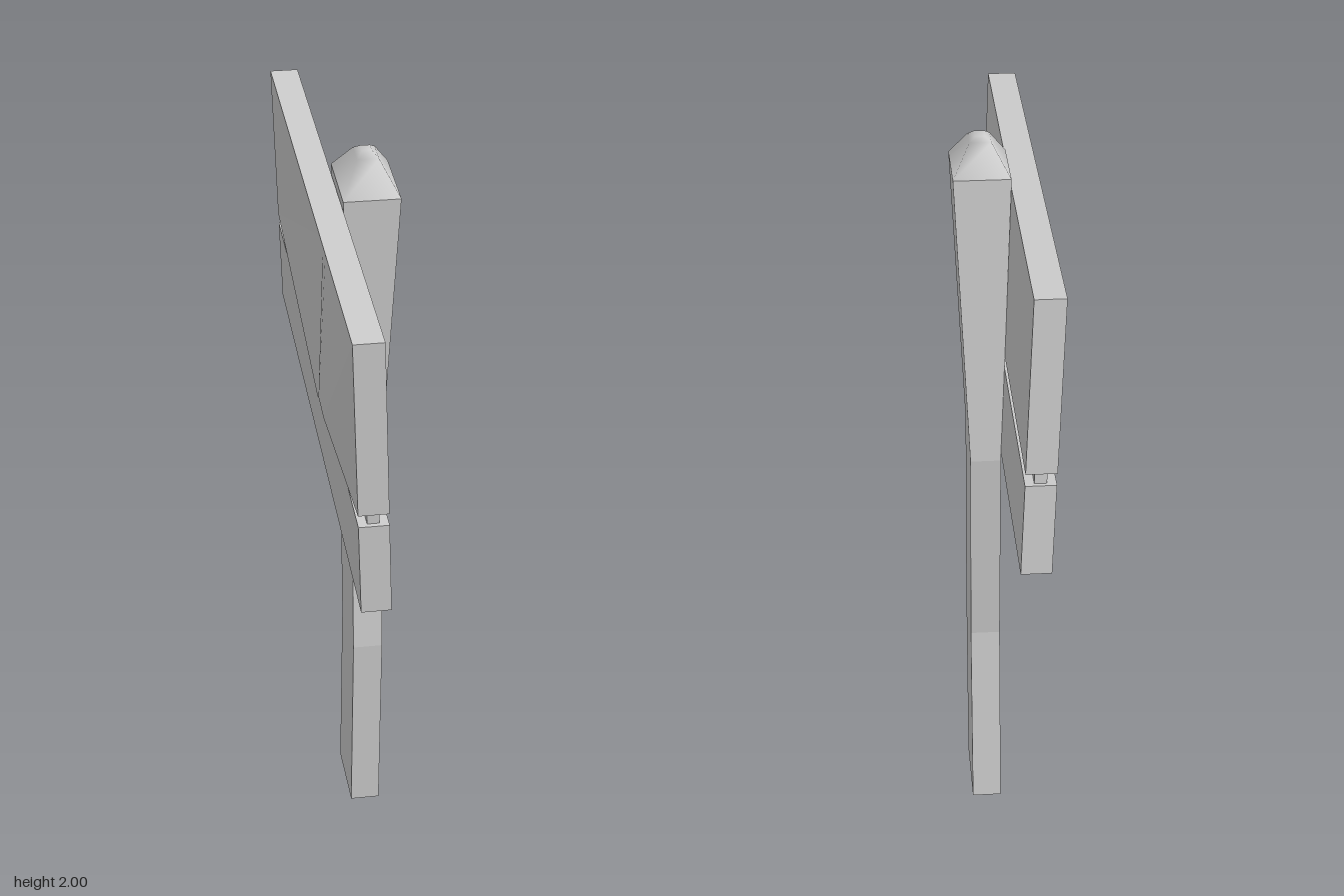
import * as THREE from 'three';
import { mergeVertices } from 'three/addons/utils/BufferGeometryUtils.js';

const lerp = THREE.MathUtils.lerp;
const flat = new THREE.MeshStandardMaterial({ color: 0xcccccc, flatShading: true });
const smooth = new THREE.MeshStandardMaterial({ color: 0xcccccc });

// Moves every vertex of a unit box (coordinates 0..1) by a rule.
function mapBox(segments, rule) {
  const geo = new THREE.BoxGeometry(1, 1, 1, ...segments);
  const p = geo.attributes.position;
  for (let i = 0; i < p.count; i++) {
    p.setXYZ(i, ...rule(p.getX(i) + 0.5, p.getY(i) + 0.5, p.getZ(i) + 0.5));
  }
  geo.computeVertexNormals();
  return geo;
}

// Box stacked from rings: [y at back, y at front, x min, x max, z back, z front]
function ringBox(rings) {
  const n = rings.length - 1;
  return mapBox([1, n, 1], (x, y, z) => {
    const [yb, yf, x0, x1, zb, zf] = rings[Math.round(y * n)];
    return [lerp(x0, x1, x), lerp(yb, yf, z), lerp(zb, zf, z)];
  });
}

// Point on the skewed board: u from front to back end, v upward, t from inner to outer face
function boardPoint(u, v, t) {
  const z = lerp(lerp(0.72, 0.77, v), lerp(-0.765, -0.715, v), u);
  const y = lerp(lerp(1.09, 1.845, v), lerp(1.22, 1.93, v), u);
  return [-0.03 * v - 0.075 * t, y, z];
}

function addMesh(group, name, geometry, material) {
  const mesh = new THREE.Mesh(geometry, material);
  mesh.name = name;
  group.add(mesh);
}

export function createModel() {
  const model = new THREE.Group();
  model.name = 'signpost';

  // Crooked post, flaring toward its top
  const topRing = [1.92, 1.905, -0.03, 0.115, -0.073, 0.135];
  addMesh(model, 'post', ringBox([
    [0, 0, 0, 0.08, -0.135, 0.08],
    [0.55, 0.56, 0, 0.08, -0.09, 0.117],
    [1.14, 1.15, 0, 0.08, -0.132, 0.078],
    topRing,
  ]), flat);

  // Rounded pyramid cap, open below so its shading stays smooth
  let cap = ringBox([
    topRing,
    [1.99, 1.985, 0.015, 0.07, -0.005, 0.065],
    [2, 2, 0.03, 0.055, 0.01, 0.045],
  ]);
  const { start, count } = cap.groups[3];
  cap.setIndex(Array.from(cap.index.array).filter((_, i) => i < start || i >= start + count));
  cap.clearGroups();
  cap.deleteAttribute('normal');
  cap.deleteAttribute('uv');
  cap = mergeVertices(cap, 1e-4);
  cap.computeVertexNormals();
  addMesh(model, 'postCap', cap, smooth);

  // Lower plank
  addMesh(model, 'lowerPlank', mapBox([1, 1, 1], (x, y, z) =>
    boardPoint(1 - z, y * 0.335, 1 - x)), flat);

  // Upper plank, its outer lower edge bulging out around a small split
  const stations = [0, 0.285, 0.314, 0.35, 1];
  const bulge = [0, 0.021, 0.026, 0.022, 0];
  addMesh(model, 'upperPlank', mapBox([1, 1, 4], (x, y, z) => {
    const i = Math.round((1 - z) * 4);
    const edge = x < 0.5 && y < 0.5;
    const chip = edge && i === 2 ? 0.045 : 0;
    const p = boardPoint(stations[i], lerp(0.378, 1, y) + chip, 1 - x);
    if (edge) p[0] -= bulge[i];
    return p;
  }), flat);

  // Recessed strip closing the gap between the planks
  addMesh(model, 'plankJoint', mapBox([1, 1, 1], (x, y, z) =>
    boardPoint(lerp(0.008, 0.992, 1 - z), lerp(0.325, 0.39, y), lerp(0.3, 0.7, 1 - x))), flat);

  return model;
}
